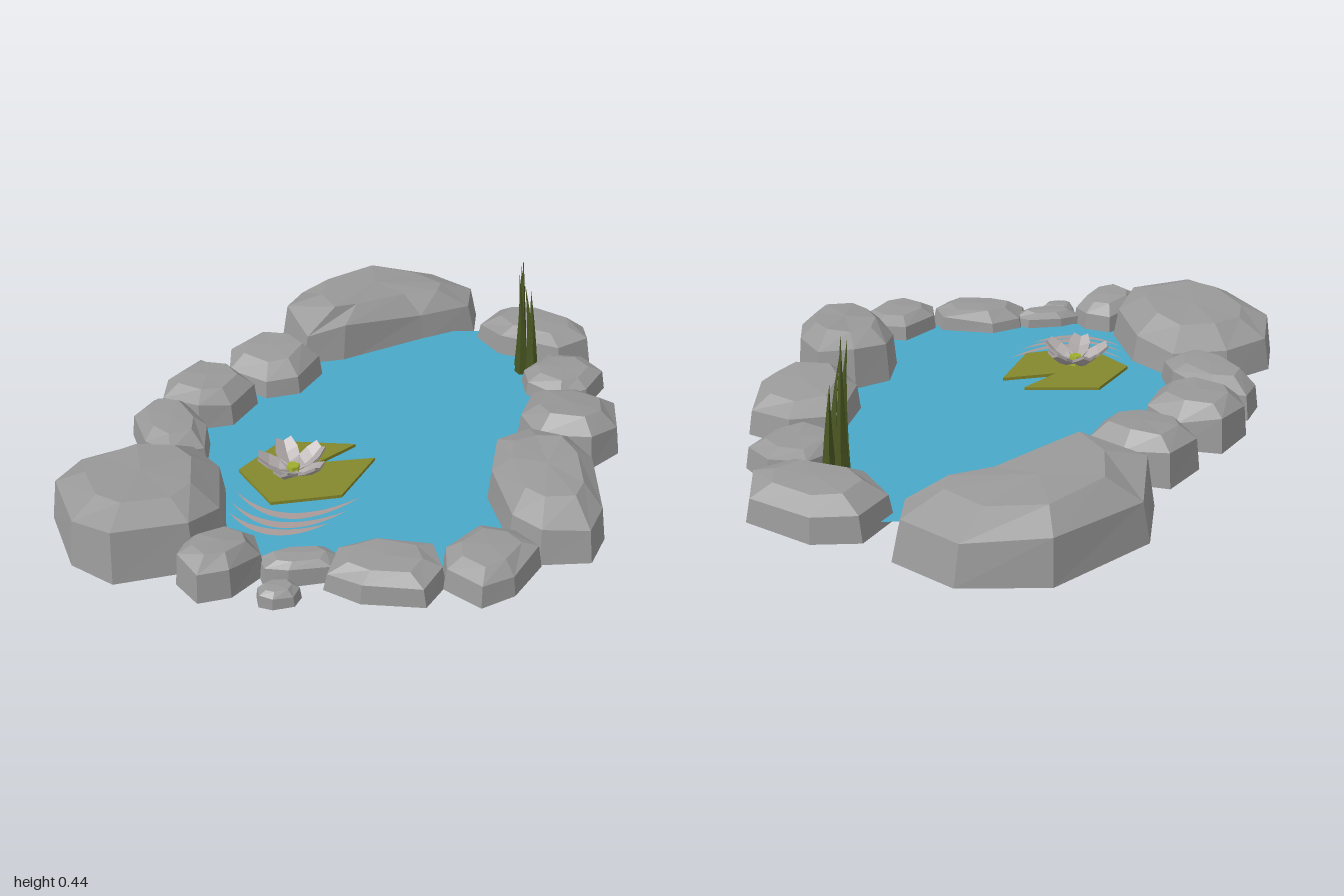
import * as THREE from 'three';

const material = (name, color) => {
  const m = new THREE.MeshStandardMaterial({ color, flatShading: true, side: THREE.DoubleSide });
  m.name = name;
  return m;
};

// Seeded 0..1 value for rock irregularity
const noise = (n) => {
  const s = Math.sin(n * 127.1 + 11.7) * 43758.5453;
  return s - Math.floor(s);
};

// Rock: centre x, z, half length, half width, turn, height, slope along length, bend
const ROCKS = [
  [-.72, -.36, .29, .25, -.85, .175, -.15],
  [-.38, -.57, .19, .11, -1.05, .12, 0],
  [-.14, -.63, .15, .15, 0, .135, 0],
  [.14, -.59, .15, .16, 0, .135, .1],
  [.67, -.56, .37, .21, .48, .18, -.12, .1],
  [.86, .01, .21, .14, 1.5, .115, 0],
  [.64, .24, .14, .13, 0, .09, 0],
  [.39, .41, .19, .17, -.4, .13, -.2],
  [-.02, .56, .26, .16, -.75, .172, .12],
  [-.36, .58, .15, .12, 0, .095, 0],
  [-.55, .37, .17, .12, 1.1, .085, 0],
  [-.79, -.01, .13, .1, .2, .12, -.1],
  [-.66, .16, .12, .06, .8, .07, 0],
  [-.785, .185, .06, .045, .8, .05, 0],
];

// Open-bottomed faceted rock: ground ring, shoulder ring, crown ring, cap
function rockGeometry([x, z, length, width, turn, height, slope, bend = 0], seed) {
  const n = length > .25 ? 9 : 7;
  const pos = [], idx = [];
  const boxy = (t) => Math.sign(t) * Math.abs(t) ** .75;
  const push = (u, v, y) => pos.push(
    x + u * Math.cos(turn) - v * Math.sin(turn), y, z + u * Math.sin(turn) + v * Math.cos(turn));
  [[1, 0, 0], [.93, .68, .2], [.6, .97, .06]].forEach(([scale, level, rough], k) => {
    for (let i = 0; i < n; i++) {
      const a = i / n * Math.PI * 2, size = .95 + .1 * noise(seed * 17 + i);
      const u = boxy(Math.cos(a)) * size, v = boxy(Math.sin(a)) * size;
      const y = level + (noise(seed * 31 + k * 13 + i) - .5) * rough;
      push(u * scale * length, v * scale * width + bend * u * u, height * y * (1 + slope * u * scale));
    }
  });
  push(0, bend * .2, height);
  for (let i = 0; i < n; i++) {
    const b = (i + 1) % n;
    for (let o = 0; o < 2 * n; o += n) idx.push(o + b, o + i, o + n + i, o + b, o + n + i, o + n + b);
    idx.push(3 * n, 2 * n + b, 2 * n + i);
  }
  const g = new THREE.BufferGeometry();
  g.setAttribute('position', new THREE.Float32BufferAttribute(pos, 3));
  g.setIndex(idx);
  g.computeVertexNormals();
  return g;
}

// Outline given in x, z
const outline = (points) => new THREE.Shape(points.map(([x, z]) => new THREE.Vector2(x, -z)));
const layFlat = (geometry, y) => geometry.rotateX(-Math.PI / 2).translate(0, y, 0);

// Tapered reed leaning from its root to its tip
function reedGeometry(x, z, tipX, tipZ, height, turn) {
  const g = new THREE.ConeGeometry(.024, height, 4, 4).rotateY(turn).translate(0, height / 2, 0);
  const a = g.attributes.position;
  for (let i = 0; i < a.count; i++) {
    const bend = (a.getY(i) / height) ** 2;
    a.setX(i, a.getX(i) * .75 + x + (tipX - x) * bend);
    a.setZ(i, a.getZ(i) + z + (tipZ - z) * bend);
  }
  g.computeVertexNormals();
  return g;
}

// Cupped petal along +x: a thin box widened, curled up and raised at the rim
function petalGeometry() {
  const g = new THREE.BoxGeometry(.09, .01, 1, 3, 1, 2).translate(.057, 0, 0);
  const a = g.attributes.position;
  for (let i = 0; i < a.count; i++) {
    const t = (a.getX(i) - .012) / .09;
    const side = a.getZ(i) * (.036 + .13 * t - .12 * t * t);
    a.setZ(i, side);
    a.setY(i, a.getY(i) + .045 * t * t + Math.abs(side) * .5);
  }
  g.computeVertexNormals();
  return g;
}

export function createModel() {
  const model = new THREE.Group();
  model.name = 'pond';
  const stone = material('stone grey', 0x999999);
  const waterBlue = material('water blue', 0x48a8c8);
  const padGreen = material('lily pad olive', 0x85882c);
  const reedGreen = material('reed green', 0x4a5722);
  const petalGrey = material('petal pale grey', 0xb0a9a9);
  const pollen = material('flower centre green', 0x9fae30);
  const rippleGrey = material('ripple grey', 0xa89a98);

  const add = (name, geometry, mat, parent = model) => {
    const mesh = new THREE.Mesh(geometry, mat);
    mesh.name = name;
    parent.add(mesh);
    return mesh;
  };
  const addGroup = (name) => {
    const group = new THREE.Group();
    group.name = name;
    model.add(group);
    return group;
  };

  // Rock border
  const rocks = addGroup('rockBorder');
  ROCKS.forEach((rock, i) => add('rock' + (i + 1), rockGeometry(rock, i + 1), stone, rocks));

  // Water surface, tucked under the rocks
  const level = .02;
  const shore = outline([[-.75, -.08], [-.6, -.35], [-.4, -.5], [-.1, -.6], [.3, -.55], [.65, -.43], [.85, -.15],
    [.82, .05], [.65, .22], [.4, .4], [.2, .45], [0, .55], [-.2, .62], [-.35, .53], [-.5, .42], [-.64, .2]]);
  add('water', layFlat(new THREE.ShapeGeometry(shore), level), waterBlue);

  // Crescent ripples beside the pad: start, control, end
  [[-.575, -.17, -.67, .04, -.45, .1], [-.53, -.2, -.65, .05, -.37, .105], [-.476, -.23, -.62, .05, -.29, .095]]
    .forEach(([ax, az, cx, cz, bx, bz], i) => {
      const s = new THREE.Shape();
      s.moveTo(ax, -az);
      s.quadraticCurveTo(cx, -cz, bx, -bz);
      s.quadraticCurveTo(cx + .05, -cz + .035, ax, -az);
      add('ripple' + (i + 1), layFlat(new THREE.ShapeGeometry(s), level + .004), rippleGrey);
    });

  // Notched lily pad
  const pad = outline([[-.4, -.28], [-.2, -.28], [-.08, -.08], [-.23, -.11], [-.11, .015], [-.33, .055], [-.48, -.09]]);
  add('lilyPad', layFlat(new THREE.ExtrudeGeometry(pad, { depth: .01, bevelEnabled: false }), level + .008), padGreen);

  // Lily flower
  const flower = addGroup('lilyFlower');
  flower.position.set(-.325, level + .028, -.13);
  const petal = petalGeometry();
  for (let i = 0; i < 5; i++) {
    add('petal' + (i + 1), petal, petalGrey, flower).rotation.y = Math.PI / 2 + (i + .5) * Math.PI * 2 / 5;
  }
  add('flowerCentre', new THREE.CylinderGeometry(.02, .024, .03, 6).translate(0, .008, 0), pollen, flower);

  // Reed clump
  const reeds = addGroup('reeds');
  [[.64, .085, .6, .085, .4, .2], [.665, .07, .655, .065, .435, .9], [.68, .06, .69, .04, .385, .4],
    [.655, .11, .63, .09, .36, 1.2], [.685, .1, .7, .075, .3, .6]]
    .forEach((reed, i) => add('reed' + (i + 1), reedGeometry(...reed), reedGreen, reeds));

  return model;
}
